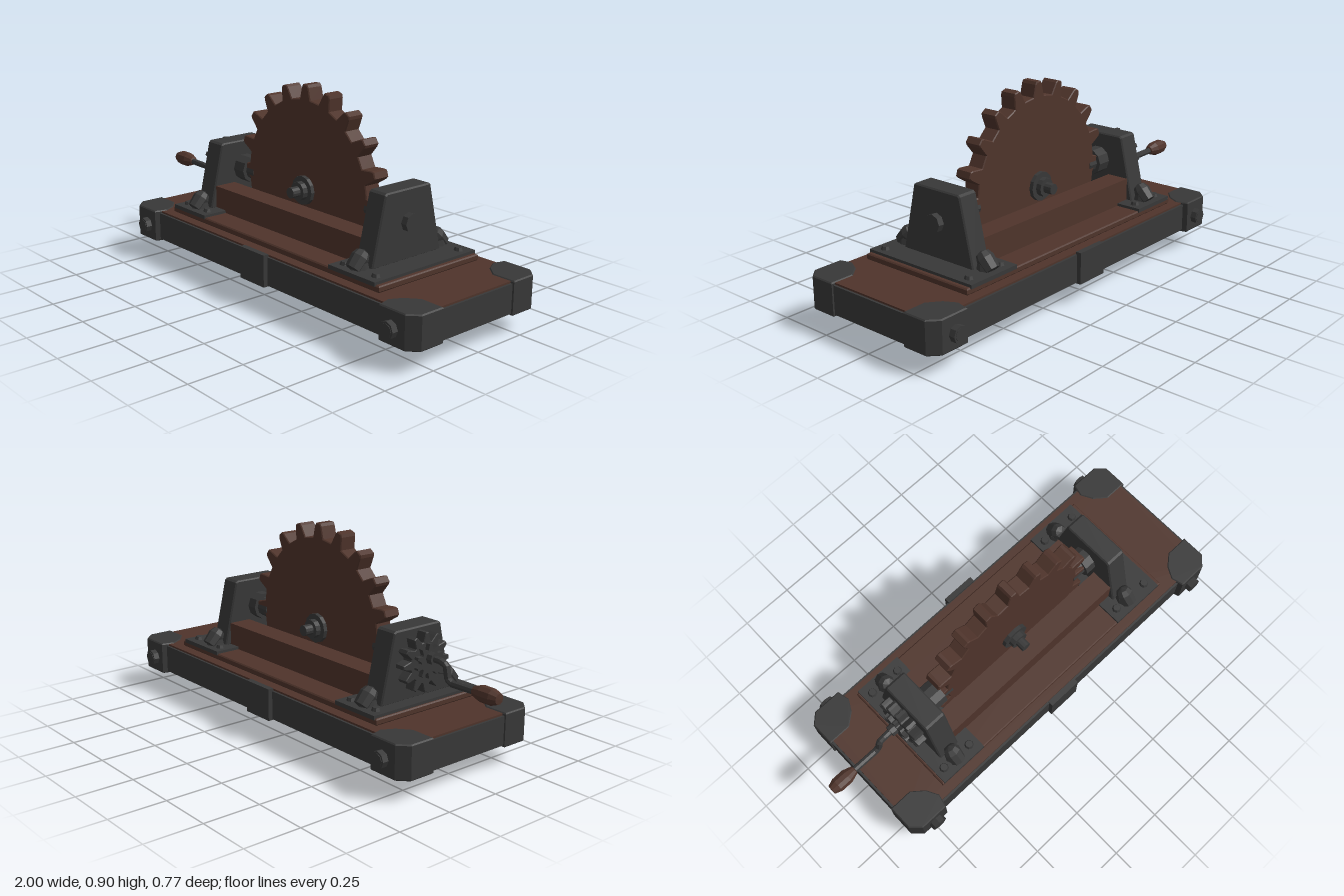
import * as THREE from 'three';

const mat = (name, color) => Object.assign(new THREE.MeshStandardMaterial({ color, flatShading: true }), { name });

export function createModel() {
  const model = new THREE.Group();
  const wood = mat('darkWood', 0x4f342b);
  const iron = mat('blackIron', 0x383838);

  const add = (name, geo, m, x = 0, y = 0, z = 0) => {
    const mesh = new THREE.Mesh(geo, m);
    mesh.name = name;
    mesh.position.set(x, y, z);
    model.add(mesh);
    return mesh;
  };
  const poly = (pts) => new THREE.Shape(pts.map(([a, b]) => new THREE.Vector2(a, b)));
  // Box given by its limits
  const box = (name, m, x0, x1, y0, y1, z0, z1) => add(name,
    new THREE.BoxGeometry(x1 - x0, y1 - y0, z1 - z0), m, (x0 + x1) / 2, (y0 + y1) / 2, (z0 + z1) / 2);
  // Extrusion centred on z, with a small bevel
  const slab = (shape, depth, bevel = 0) => new THREE.ExtrudeGeometry(shape, {
    depth: depth - 2 * bevel, bevelEnabled: bevel > 0, bevelSize: bevel, bevelThickness: bevel,
    bevelOffset: -bevel, bevelSegments: 1, curveSegments: 12,
  }).translate(0, 0, -depth / 2 + bevel);
  // Plan outline (x, z) raised from y0 to y1
  const plan = (name, m, pts, y0, y1, hole, bevel = 0) => {
    const s = poly(pts.map(([x, z]) => [x, -z]));
    if (hole) s.holes.push(poly(hole));
    return add(name, slab(s, y1 - y0, bevel).rotateX(-Math.PI / 2), m, 0, (y0 + y1) / 2, 0);
  };
  const rect = (x0, x1, z) => [[x0, -z], [x1, -z], [x1, z], [x0, z]];
  const chamfered = (x0, x1, z, c) => [[x0 + c, -z], [x1 - c, -z], [x1, -z + c], [x1, z - c],
    [x1 - c, z], [x0 + c, z], [x0, z - c], [x0, -z + c]];
  // Rod along x between two positions
  const rodX = (name, m, x0, x1, y, r, sides = 10, r2 = r) => add(name,
    new THREE.CylinderGeometry(r, r2, x1 - x0, sides).rotateZ(Math.PI / 2), m, (x0 + x1) / 2, y, 0);
  // Gear outline with tapered teeth, first tooth straight up
  const gear = (n, root, tip, wRoot, wTip) => {
    const pts = [];
    for (let i = 0; i < n; i++) {
      const a = Math.PI / 2 + (i / n) * Math.PI * 2;
      for (const [r, w] of [[root, -wRoot], [tip - 0.012, -wTip], [tip, -wTip * 0.65],
        [tip, wTip * 0.65], [tip - 0.012, wTip], [root, wRoot]]) {
        const t = a + w / 2 / r;
        pts.push([r * Math.cos(t), r * Math.sin(t)]);
      }
    }
    return poly(pts);
  };

  // Base with a slot for the wheel
  const slot = rect(-0.27, 0.33, 0.06);
  plan('baseFrame', iron, chamfered(-0.855, 0.99, 0.335, 0.05), 0.1, 0.226, slot);
  plan('baseTop', wood, chamfered(-0.845, 0.98, 0.325, 0.05), 0.226, 0.234, slot);
  plan('bedPlate', wood, rect(-0.63, 0.74, 0.283), 0.234, 0.262, slot, 0.005);

  // Corner brackets with bolts
  for (const sx of [-1, 1]) for (const sz of [-1, 1]) {
    const outline = [[0.93, 0.2], [0.93, 0.315], [0.885, 0.358], [0.75, 0.358], [0.735, 0.3], [0.765, 0.245], [0.82, 0.2]];
    plan('cornerBracket', iron, outline.map(([x, z]) => [0.068 + sx * x, sz * z]), 0.091, 0.238, null, 0.005);
    const bx = 0.068 + sx * 0.815;
    add('cornerBolt', new THREE.CylinderGeometry(0.036, 0.036, 0.03, 8).rotateX(Math.PI / 2), iron, bx, 0.16, sz * 0.37);
    add('cornerBoltWasher', new THREE.CylinderGeometry(0.028, 0.028, 0.012, 8).rotateX(Math.PI / 2), iron, bx, 0.16, sz * 0.381);
  }
  // Middle clamps and wooden side rails
  for (const s of [-1, 1]) {
    box('middleClamp', iron, -0.03, 0.13, 0.096, 0.238, s * 0.342 - 0.013, s * 0.342 + 0.013);
    box('sideRail', wood, -0.46, 0.52, 0.255, 0.375, s * 0.113 - 0.053, s * 0.113 + 0.053);
  }

  // Large toothed wheel
  add('toothedWheel', slab(gear(20, 0.388, 0.452, 0.068, 0.042), 0.08, 0.004), wood, 0.025, 0.451, 0);
  for (const s of [-1, 1]) {
    [[0.065, 0.05], [0.042, 0.075], [0.024, 0.115]].forEach(([r, z]) => add('wheelHub',
      new THREE.CylinderGeometry(r, r, 0.04, 12).rotateX(Math.PI / 2), iron, 0.025, 0.44, s * (z - 0.012)));
  }
  add('wheelAxle', new THREE.CylinderGeometry(0.016, 0.016, 0.22, 8).rotateX(Math.PI / 2), iron, 0.025, 0.44, 0);

  // Bearing stands: foot plate, tapered upright, bolts
  const stand = [[-0.195, 0.27], [0.195, 0.27], [0.128, 0.56], [0.118, 0.568], [-0.118, 0.568], [-0.128, 0.56]];
  for (const [p0, p1, u0, u1] of [[-0.62, -0.385, -0.56, -0.455], [0.455, 0.72, 0.515, 0.612]]) {
    box('footPlate', iron, p0, p1, 0.256, 0.274, -0.286, 0.286);
    add('bearingStand', slab(poly(stand), u1 - u0, 0.006).rotateY(Math.PI / 2), iron, (u0 + u1) / 2, 0, 0);
    for (const s of [-1, 1]) {
      for (const x of [p0 + 0.043, p1 - 0.043]) {
        add('plateBolt', new THREE.CylinderGeometry(0.016, 0.022, 0.016, 8), iron, x, 0.28, s * 0.235);
      }
      const knob = [[0, -0.05], [0.034, -0.045], [0.038, 0.01], [0.028, 0.035], [0, 0.045]];
      const k = add('standKnob', new THREE.LatheGeometry(knob.map(([r, y]) => new THREE.Vector2(r, y)), 8),
        iron, (u0 + u1) / 2, 0.309, s * 0.222);
      k.rotation.x = -s * 0.75;
      add('knobBase', new THREE.CylinderGeometry(0.036, 0.042, 0.03, 8), iron, (u0 + u1) / 2, 0.284, s * 0.222);
    }
  }
  // Bearings between the stands and the wheel
  rodX('leftBearing', iron, 0.465, 0.52, 0.44, 0.062);
  rodX('leftBearingSleeve', iron, 0.4, 0.47, 0.44, 0.045);
  rodX('rightBearing', iron, -0.46, -0.385, 0.44, 0.062);
  rodX('rightBearingSleeve', iron, -0.39, -0.335, 0.44, 0.045);
  rodX('endBolt', iron, 0.605, 0.64, 0.43, 0.04, 8);

  // Small drive gears beside the right stand
  add('driveGear', slab(gear(12, 0.088, 0.125, 0.038, 0.024), 0.05, 0.003).rotateY(Math.PI / 2), iron, -0.588, 0.43, 0);
  add('outerGear', slab(gear(10, 0.048, 0.072, 0.024, 0.016), 0.03).rotateY(Math.PI / 2), iron, -0.618, 0.44, 0);

  // Crank with a wooden grip
  const bend = new THREE.CurvePath();
  const path = [[-0.6, 0.455], [-0.69, 0.455], [-0.72, 0.445], [-0.732, 0.39], [-0.755, 0.378], [-0.88, 0.38]]
    .map(([x, y]) => new THREE.Vector3(x, y, 0));
  for (let i = 1; i < path.length; i++) bend.add(new THREE.LineCurve3(path[i - 1], path[i]));
  add('crank', new THREE.TubeGeometry(bend, 40, 0.015, 8), iron);
  rodX('crankCollar', iron, -0.66, -0.62, 0.455, 0.026, 8);
  const grip = [[0, -0.068], [0.022, -0.066], [0.034, -0.035], [0.034, 0.02], [0.02, 0.06], [0, 0.068]];
  add('crankGrip', new THREE.LatheGeometry(grip.map(([r, y]) => new THREE.Vector2(r, y)), 10).rotateZ(-Math.PI / 2),
    wood, -0.932, 0.382, 0);
  return model;
}
